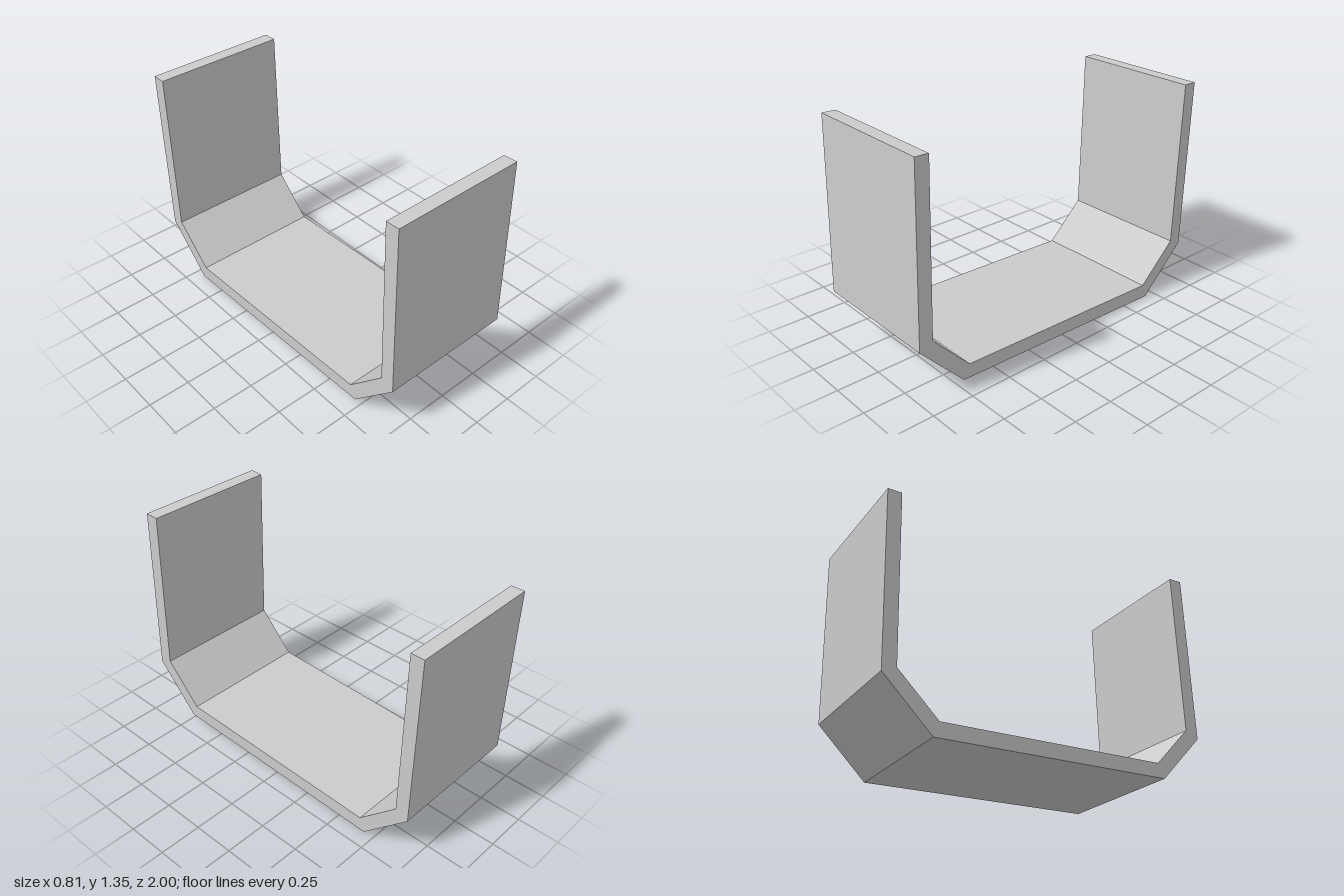
import * as THREE from 'three';

export function createModel() {
  const group = new THREE.Group();
  const width = 0.81;

  // Side profile of the bent strip as (z, y): outer edge front to back, then inner edge back to front
  const outer = [[0.973, 1.354], [1, 0.323], [0.73, 0.04], [-0.685, 0], [-0.97, 0.276], [-1, 1.303]];
  const inner = [[-0.919, 1.303], [-0.891, 0.312], [-0.655, 0.086], [0.691, 0.123], [0.917, 0.36], [0.891, 1.351]];
  const profile = new THREE.Shape([...outer, ...inner].map(([z, y]) => new THREE.Vector2(z, y)));

  // Extrude across the width and turn the profile into the yz plane
  const geometry = new THREE.ExtrudeGeometry(profile, { depth: width, bevelEnabled: false });
  geometry.translate(0, 0, -width / 2);
  geometry.rotateY(-Math.PI / 2);

  const bracket = new THREE.Mesh(
    geometry,
    new THREE.MeshStandardMaterial({ color: 0xcccccc, flatShading: true })
  );
  bracket.name = 'bentBracket';
  group.add(bracket);
  return group;
}
